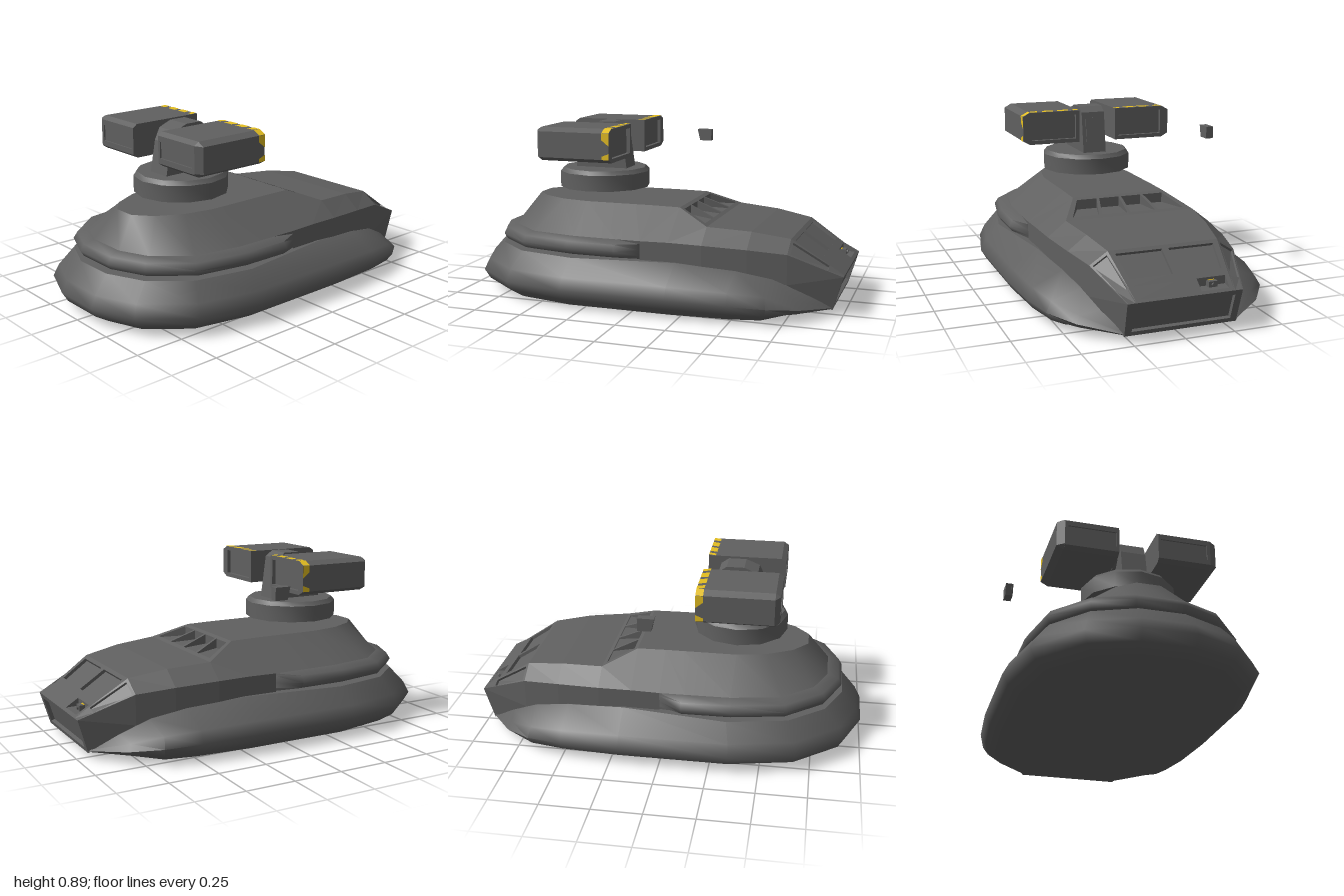
import * as THREE from 'three';
import { toCreasedNormals } from 'three/addons/utils/BufferGeometryUtils.js';

const V = (x, y, z) => new THREE.Vector3(x, y, z);
const hullGrey = new THREE.MeshStandardMaterial({ color: 0x606060 });
hullGrey.name = 'hull grey';
const warningYellow = new THREE.MeshStandardMaterial({ color: 0xe4be20 });
warningYellow.name = 'warning yellow';

// Collects quads; side = -1 mirrors everything across x
function faces(side = 1) {
  const pos = [];
  const tri = (a, b, c) => {
    for (const p of side > 0 ? [a, b, c] : [a, c, b]) pos.push(p.x * side, p.y, p.z);
  };
  return {
    tri,
    quad(a, b, c, d) { tri(a, b, c); tri(a, c, d); },
    mesh(name, material, crease = 0) {
      let g = new THREE.BufferGeometry();
      g.setAttribute('position', new THREE.Float32BufferAttribute(pos, 3));
      g.computeVertexNormals();
      if (crease) g = toCreasedNormals(g, crease);
      const m = new THREE.Mesh(g, material);
      m.name = name;
      return m;
    },
  };
}

// Four-cornered face with recesses [u0, v0, u1, v1, lo, hi]; optional lo and hi push the floor's two edges in
function panel(f, [a, b, c, d], rects = [], depth = 0.02) {
  const at = (u, v) => a.clone().lerp(b, u).lerp(d.clone().lerp(c, u), v);
  const n = c.clone().sub(a).cross(d.clone().sub(b)).normalize().multiplyScalar(-depth);
  const cuts = (i) => [...new Set([0, 1, ...rects.flatMap((r) => [r[i], r[i + 2]])])].sort((p, q) => p - q);
  const us = cuts(0), vs = cuts(1);
  for (let i = 0; i < us.length - 1; i++) for (let j = 0; j < vs.length - 1; j++) {
    const u = (us[i] + us[i + 1]) / 2, v = (vs[j] + vs[j + 1]) / 2;
    if (rects.some((r) => u > r[0] && u < r[2] && v > r[1] && v < r[3])) continue;
    f.quad(at(us[i], vs[j]), at(us[i + 1], vs[j]), at(us[i + 1], vs[j + 1]), at(us[i], vs[j + 1]));
  }
  for (const [u0, v0, u1, v1, lo = n, hi = n] of rects) {
    const rim = [at(u0, v0), at(u1, v0), at(u1, v1), at(u0, v1)];
    const floor = rim.map((p, i) => p.clone().add(i < 2 ? lo : hi));
    f.quad(...floor);
    rim.forEach((p, i) => f.quad(p, rim[(i + 1) % 4], floor[(i + 1) % 4], floor[i]));
  }
}

// Full loop from the left half, rear to front
const mirrorLoop = (half) => [...half, ...half.map(([x, ...r]) => [-x, ...r]).reverse()];

// Moves point j of a loop inwards
function inset(loop, j, amount) {
  const p = loop[j], q = loop[(j + 1) % loop.length], o = loop[(j - 1 + loop.length) % loop.length];
  const tx = q[0] - o[0], tz = q[1] - o[1], l = Math.hypot(tx, tz);
  return [p[0] - (tz / l) * amount, p[1] + (tx / l) * amount];
}

// Smooth skin over stacked rings, bottom to top, with flat caps
function stack(name, rings) {
  const n = rings[0].length, skin = faces(), caps = faces();
  for (let i = 0; i < rings.length - 1; i++) for (let j = 0; j < n; j++) {
    const k = (j + 1) % n;
    skin.quad(rings[i][j], rings[i + 1][j], rings[i + 1][k], rings[i][k]);
  }
  for (const [ring, top] of [[rings[0], false], [rings[rings.length - 1], true]]) {
    const ys = ring.map((p) => p.y);
    const c = V(0, top ? Math.max(...ys) : Math.min(...ys), 0);
    for (let j = 0; j < n; j++) {
      const p = ring[j], q = ring[(j + 1) % n];
      if (top) caps.tri(c, q, p); else caps.tri(c, p, q);
    }
  }
  const g = new THREE.Group();
  g.name = name;
  g.add(skin.mesh(name + 'Skin', hullGrey, 1.2), caps.mesh(name + 'Caps', hullGrey));
  return g;
}

function makeSkirt() {
  // widest x, z, height factor, then the top edge's x, y, z
  const loop = mirrorLoop([
    [0.28, -0.95, 0.1, 0.282, 0.035, -0.95], [0.46, -0.82, 0.52, 0.345, 0.12, -0.82],
    [0.56, -0.68, 0.85, 0.39, 0.187, -0.68], [0.6, -0.5, 0.94, 0.42, 0.222, -0.5],
    [0.622, -0.2, 1, 0.455, 0.247, -0.2], [0.622, 0.35, 1, 0.522, 0.247, 0.33],
    [0.55, 0.68, 1, 0.46, 0.247, 0.63], [0.36, 0.91, 1, 0.31, 0.247, 0.81], [0.13, 1, 1, 0.11, 0.247, 0.895]]);
  const profile = [[0.16, 0.01], [0.11, 0], [0.03, 0.05], [0, 0.1], [0.03, 0.16]];
  const rings = profile.map(([d, y]) => loop.map(([, z0, k], j) => {
    const [x, z] = inset(loop, j, d * Math.min(1, 2 * k));
    return V(x, y * k + Math.max(0, -0.7 - z0) * 0.12, z);
  }));
  rings.push(loop.map(([x, , , tx, ty, tz]) => V(Math.sign(x) * tx, ty, tz)));
  return stack('skirt', rings);
}

function makeFrontHull() {
  const lip = mirrorLoop([[0.45, -0.015], [0.525, 0.1], [0.522, 0.35], [0.47, 0.62], [0.31, 0.81], [0.12, 0.89]]);
  const roof = mirrorLoop([[0.25, -0.015], [0.25, 0.08], [0.25, 0.35], [0.22, 0.5], [0.15, 0.63], [0.06, 0.705]]);
  const profile = [[0.062, 0.252], [0.018, 0.266], [0, 0.295], [0.02, 0.327], [0.078, 0.342]];
  const rings = profile.map(([d, y]) => lip.map((p, j) => {
    const [x, z] = inset(lip, j, j === 0 || j === lip.length - 1 ? 0 : d);
    return V(x, y, z);
  }));
  const g = new THREE.Group();
  g.name = 'frontHull';
  g.add(stack('lip', rings), stack('foredeck', [rings[4], roof.map(([x, z]) => V(x, 0.487, z))]));
  return g;
}

function makeCab() {
  // lower edge, shoulder and roof edge of each section, running rearwards
  const s = [
    [V(0.45, 0.245, -0.015), V(0.45, 0.342, -0.015), V(0.25, 0.487, -0.015)],
    [V(0.447, 0.242, -0.16), V(0.447, 0.344, -0.16), V(0.25, 0.485, -0.16)],
    [V(0.44, 0.23, -0.33), V(0.44, 0.34, -0.33), V(0.345, 0.415, -0.33)],
    [V(0.41, 0.205, -0.55), V(0.41, 0.328, -0.55), V(0.315, 0.4, -0.55)],
    [V(0.37, 0.16, -0.74), V(0.37, 0.31, -0.74), V(0.28, 0.37, -0.74)],
    [V(0.28, 0.03, -0.95), V(0.285, 0.2, -1), V(0.24, 0.2, -1)],
  ];
  const flip = (p) => V(-p.x, p.y, p.z);
  const g = new THREE.Group();
  g.name = 'cab';
  for (const side of [1, -1]) {
    const f = faces(side);
    for (let i = 0; i < 5; i++) {
      const [a, b] = [s[i], s[i + 1]];
      panel(f, [a[0], b[0], b[1], a[1]]);
      panel(f, [a[1], b[1], b[2], a[2]], i === 4 ? [[0.05, 0.1, 0.72, 0.87]] : [], 0.012);
    }
    g.add(f.mesh(side > 0 ? 'leftSide' : 'rightSide', hullGrey));
  }
  const f = faces();
  for (let i = 0; i < 5; i++) {
    const [a, b] = [s[i], s[i + 1]];
    const top = [flip(a[2]), a[2], b[2], flip(b[2])];
    if (i === 1) {
      // four wedge-shaped intakes
      panel(f, top, [0, 1, 2, 3].map((k) => [0.05 + k * 0.232, 0.12, 0.255 + k * 0.232, 0.88, V(0, -0.05, 0), V(0, -0.006, 0)]));
    } else if (i === 4) {
      // windscreen pair and wedge-shaped lamp bay
      panel(f, top, [[0.05, 0.07, 0.47, 0.56], [0.53, 0.07, 0.95, 0.56],
        [0.04, 0.7, 0.33, 0.94, V(0, -0.04, 0), V(0, -0.001, 0)]], 0.016);
    } else panel(f, top);
    panel(f, [flip(b[0]), b[0], a[0], flip(a[0])]);
  }
  const e = s[5];
  panel(f, [e[0], flip(e[0]), flip(e[1]), e[1]], [[0.06, 0.12, 0.94, 0.86]], 0.02);
  g.add(f.mesh('roofAndTail', hullGrey));
  const lamp = new THREE.Mesh(new THREE.BoxGeometry(0.045, 0.03, 0.03), hullGrey);
  lamp.name = 'lamp';
  lamp.position.set(-0.158, 0.223, -0.935);
  const lens = new THREE.Mesh(new THREE.CylinderGeometry(0.009, 0.009, 0.01, 8).rotateX(Math.PI / 2), hullGrey);
  lens.name = 'lampLens';
  lens.position.set(-0.158, 0.223, -0.953);
  const mark = new THREE.Mesh(new THREE.BoxGeometry(0.032, 0.002, 0.007), warningYellow);
  mark.name = 'lampMark';
  mark.position.set(-0.158, 0.239, -0.925);
  g.add(lamp, lens, mark);
  return g;
}

function makePod(side) {
  const g = new THREE.Group();
  g.name = side > 0 ? 'leftPod' : 'rightPod';
  const outer = [[0.103, 0.713], [0.38, 0.713], [0.417, 0.733], [0.417, 0.865], [0.38, 0.885], [0.103, 0.885]];
  const nose = [[0.103, 0.73], [0.38, 0.73], [0.38, 0.735], [0.38, 0.863], [0.38, 0.868], [0.103, 0.868]];
  const rings = [[outer, 0.158], [outer, 0.54], [nose, 0.565]].map(([o, z]) => o.map(([x, y]) => V(x, y, z)));
  const f = faces(side);
  for (let i = 0; i < 2; i++) for (let j = 0; j < 6; j++) {
    const k = (j + 1) % 6;
    f.quad(rings[i][j], rings[i][k], rings[i + 1][k], rings[i + 1][j]);
  }
  const [r, , n] = rings;
  panel(f, [n[0], n[1], n[4], n[5]], [[0.05, 0.2, 0.94, 0.8]], 0.008);
  panel(f, [r[1], r[0], r[5], r[4]], [[0.03, 0.12, 0.93, 0.88]], 0.02);
  f.quad(r[2], r[1], r[4], r[3]);
  g.add(f.mesh('podShell', hullGrey));

  // slanted warning stripes on the top, chamfer and outer side
  const w = faces(side), z0 = 0.158, z1 = 0.196, t = 0.002;
  for (const [a, b] of [[0.112, 0.14], [0.168, 0.228], [0.252, 0.312], [0.34, 0.38]]) {
    const y = 0.885 + t, d = 0.012;
    w.quad(V(a - d, y, z1), V(b - d, y, z1), V(b, y, z0), V(a, y, z0));
  }
  const x = 0.417 + t;
  w.quad(V(x, 0.865 + t, z1), V(x, 0.865 + t, z0), V(0.38, 0.885 + t, z0), V(0.38, 0.885 + t, z1));
  for (const [lo, hi, d] of [[0.832, 0.865, 0.03], [0.733, 0.75, -0.015]]) {
    w.quad(V(x, lo, z1), V(x, d > 0 ? lo - d : lo, z0), V(x, d > 0 ? hi : hi - d, z0), V(x, hi, z1));
  }
  g.add(w.mesh('warningStripes', warningYellow));
  return g;
}

function makeTurret() {
  const g = new THREE.Group();
  g.name = 'turret';
  const add = (name, geo, x = 0, y = 0, z = 0) => {
    const m = new THREE.Mesh(geo, hullGrey);
    m.name = name;
    m.position.set(x, y, z);
    g.add(m);
  };
  const ring = [[0, 0.536], [0.243, 0.536], [0.243, 0.62], [0.225, 0.641], [0, 0.641]].map((p) => new THREE.Vector2(...p));
  add('turntable', toCreasedNormals(new THREE.LatheGeometry(ring, 12), 0.6), 0, 0, 0.348);
  // mast side profile as z, y
  const profile = [[0.49, 0.64], [0.46, 0.8], [0.43, 0.86], [0.36, 0.888], [0.27, 0.888], [0.23, 0.86], [0.2, 0.64]];
  const shape = new THREE.Shape(profile.map((p) => new THREE.Vector2(...p)));
  add('mast', new THREE.ExtrudeGeometry(shape, { depth: 0.13, bevelEnabled: false }).rotateY(-Math.PI / 2), 0.065);
  add('mastRearPlate', new THREE.BoxGeometry(0.09, 0.13, 0.008).rotateX(0.136), 0, 0.765, 0.215);
  const pivot = new THREE.CylinderGeometry(0.062, 0.062, 0.166, 8).rotateZ(Math.PI / 2).rotateX(Math.PI / 8);
  add('pivot', toCreasedNormals(pivot, 0.3), 0, 0.81, 0.34);
  g.add(makePod(1), makePod(-1));
  return g;
}

function makeSensor() {
  const f = faces(), x0 = -0.573, x1 = -0.533;
  const a = [[-0.03, 0.733], [-0.097, 0.733], [-0.097, 0.797], [-0.015, 0.797]];
  const L = a.map(([z, y]) => V(x1, y, z)), R = a.map(([z, y]) => V(x0, y, z));
  f.quad(...L);
  f.quad(R[3], R[2], R[1], R[0]);
  for (let i = 0; i < 3; i++) f.quad(L[i + 1], L[i], R[i], R[i + 1]);
  panel(f, [R[0], L[0], L[3], R[3]], [[0.25, 0.45, 0.75, 0.9]], 0.01);
  return f.mesh('sensor', hullGrey);
}

export function createModel() {
  const model = new THREE.Group();
  model.name = 'hovercraft';
  model.add(makeSkirt(), makeFrontHull(), makeCab(), makeTurret(), makeSensor());
  return model;
}
